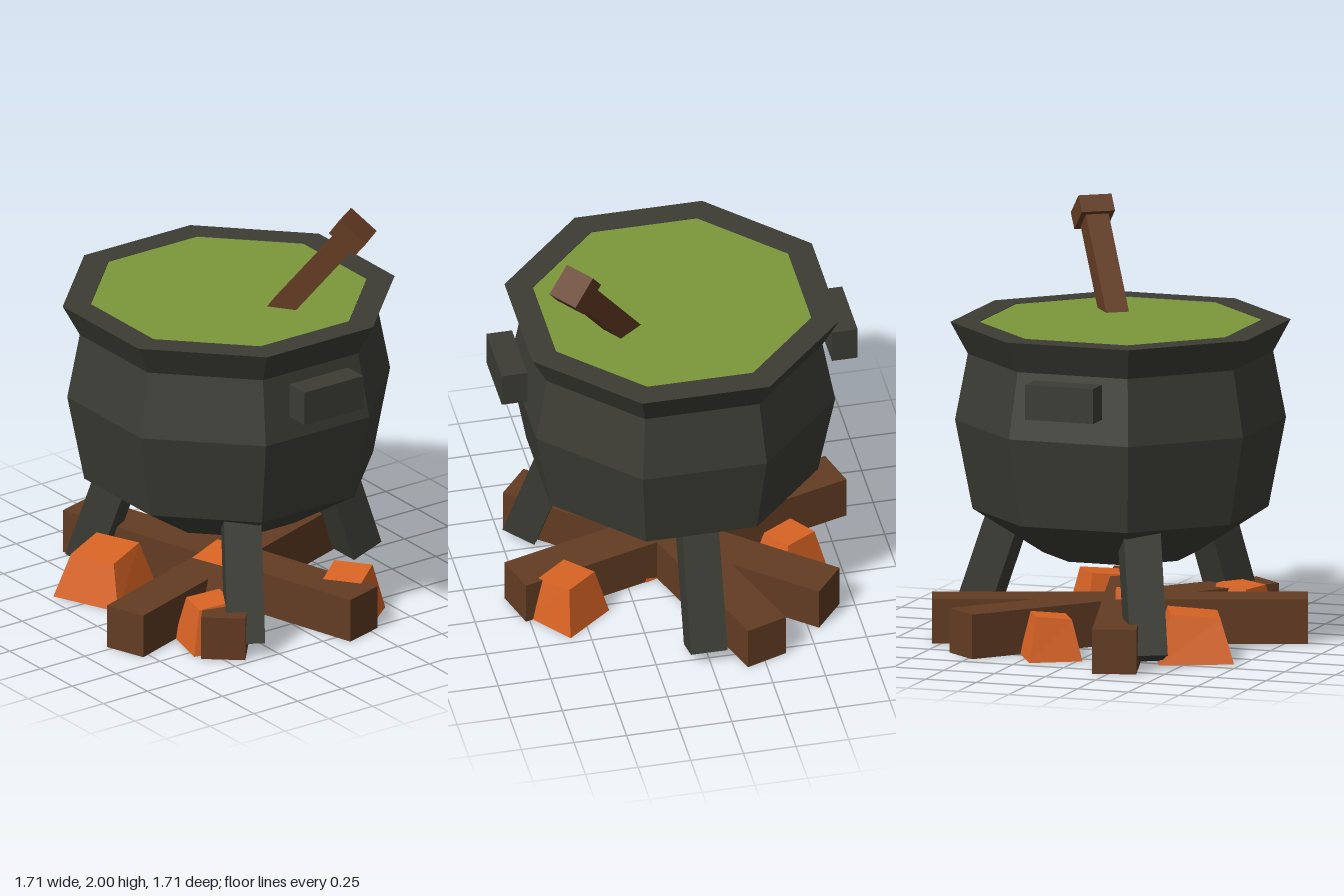
import * as THREE from 'three';

const rad = THREE.MathUtils.degToRad;
const material = (name, color) => {
  const m = new THREE.MeshStandardMaterial({ color });
  m.name = name;
  return m;
};

export function createModel() {
  const iron = material('dark iron', 0x3c3c35);
  const wood = material('brown wood', 0x633c23);
  const ember = material('orange ember', 0xda6424);
  const soup = material('green soup', 0x7c983b);

  const model = new THREE.Group();
  model.name = 'cauldron';

  const add = (name, geometry, mat, x, y, z, parent = model) => {
    const mesh = new THREE.Mesh(geometry, mat);
    mesh.name = name;
    mesh.position.set(x, y, z);
    parent.add(mesh);
    return mesh;
  };
  const faceted = (geometry) => {
    const g = geometry.toNonIndexed();
    g.computeVertexNormals();
    return g;
  };

  // Eight-sided pot with flared rim; profile radii are measured to the flat sides
  const corner = 1 / Math.cos(Math.PI / 8);
  const profile = [
    [0, 0.42], [0.33, 0.42], [0.635, 0.63], [0.71, 1.05],
    [0.655, 1.36], [0.73, 1.51], [0.607, 1.51], [0.6, 1.49],
  ].map(([r, y]) => new THREE.Vector2(r * corner, y));
  add('pot', faceted(new THREE.LatheGeometry(profile, 8, Math.PI / 8)), iron, 0.008, 0, 0.008);

  // Soup surface, level with the rim
  const surface = new THREE.CircleGeometry(0.606 * corner, 8, Math.PI / 8).rotateX(-Math.PI / 2);
  add('soup', surface, soup, 0.008, 1.508, 0.008);

  // Side handles
  for (const side of [-1, 1]) {
    add(side > 0 ? 'leftHandle' : 'rightHandle',
      new THREE.BoxGeometry(0.122, 0.165, 0.335), iron, 0.008 + side * 0.784, 1.256, 0.01);
  }

  // Three splayed legs
  for (const [name, angle] of [['backLeg', 180], ['frontLeftLeg', 60], ['frontRightLeg', -60]]) {
    const pivot = new THREE.Group();
    pivot.name = name;
    pivot.position.set(0.008, 0, 0);
    pivot.rotation.y = rad(angle);
    model.add(pivot);
    const leg = add(name + 'Post', new THREE.BoxGeometry(0.174, 0.6, 0.165), iron, 0, 0.327, 0.625, pivot);
    leg.rotation.x = rad(-19);
  }

  // Spoon with a block end, leaning to the back left
  const spoon = new THREE.Group();
  spoon.name = 'spoon';
  spoon.position.set(0.54, 1.915, -0.32);
  spoon.rotation.set(0, rad(36.5), rad(-39), 'YXZ');
  model.add(spoon);
  add('spoonHandle', new THREE.BoxGeometry(0.11, 0.7, 0.11), wood, 0, -0.35, 0, spoon);
  add('spoonEnd', new THREE.BoxGeometry(0.16, 0.09, 0.16), wood, 0, 0, 0, spoon);

  // Crossed logs, given by their two end points on the ground
  const logs = [
    [-0.26, -0.825, 0.32, 0.82],
    [-0.615, -0.555, 0.655, 0.5],
    [-0.828, 0.278, 0.798, -0.2],
  ];
  logs.forEach(([x0, z0, x1, z1], i) => {
    const length = Math.hypot(x1 - x0, z1 - z0);
    const log = add('log' + (i + 1), new THREE.BoxGeometry(length, 0.21, 0.206), wood,
      (x0 + x1) / 2, 0.105, (z0 + z1) / 2);
    log.rotation.y = Math.atan2(z0 - z1, x1 - x0);
  });

  // Embers: square frustums with slightly sloped tops [x, z, base side, height, turn]
  const embers = [
    [-0.31, 0.485, 0.35, 0.218, 23.6],
    [0.065, 0.08, 0.32, 0.22, 20],
    [0.57, -0.27, 0.28, 0.22, 38],
    [0.46, 0.44, 0.25, 0.22, -14],
    [-0.515, -0.145, 0.25, 0.2, 30],
  ];
  embers.forEach(([x, z, side, height, turn], i) => {
    const r = side / Math.SQRT2;
    const g = new THREE.CylinderGeometry(r * 0.66, r, height, 4).rotateY(Math.PI / 4).translate(0, height / 2, 0);
    const p = g.attributes.position;
    for (let v = 0; v < p.count; v++) {
      if (p.getY(v) > height / 2) p.setY(v, height - 0.1 * p.getZ(v));
    }
    add('ember' + (i + 1), faceted(g), ember, x, 0, z).rotation.y = rad(turn);
  });

  return model;
}
